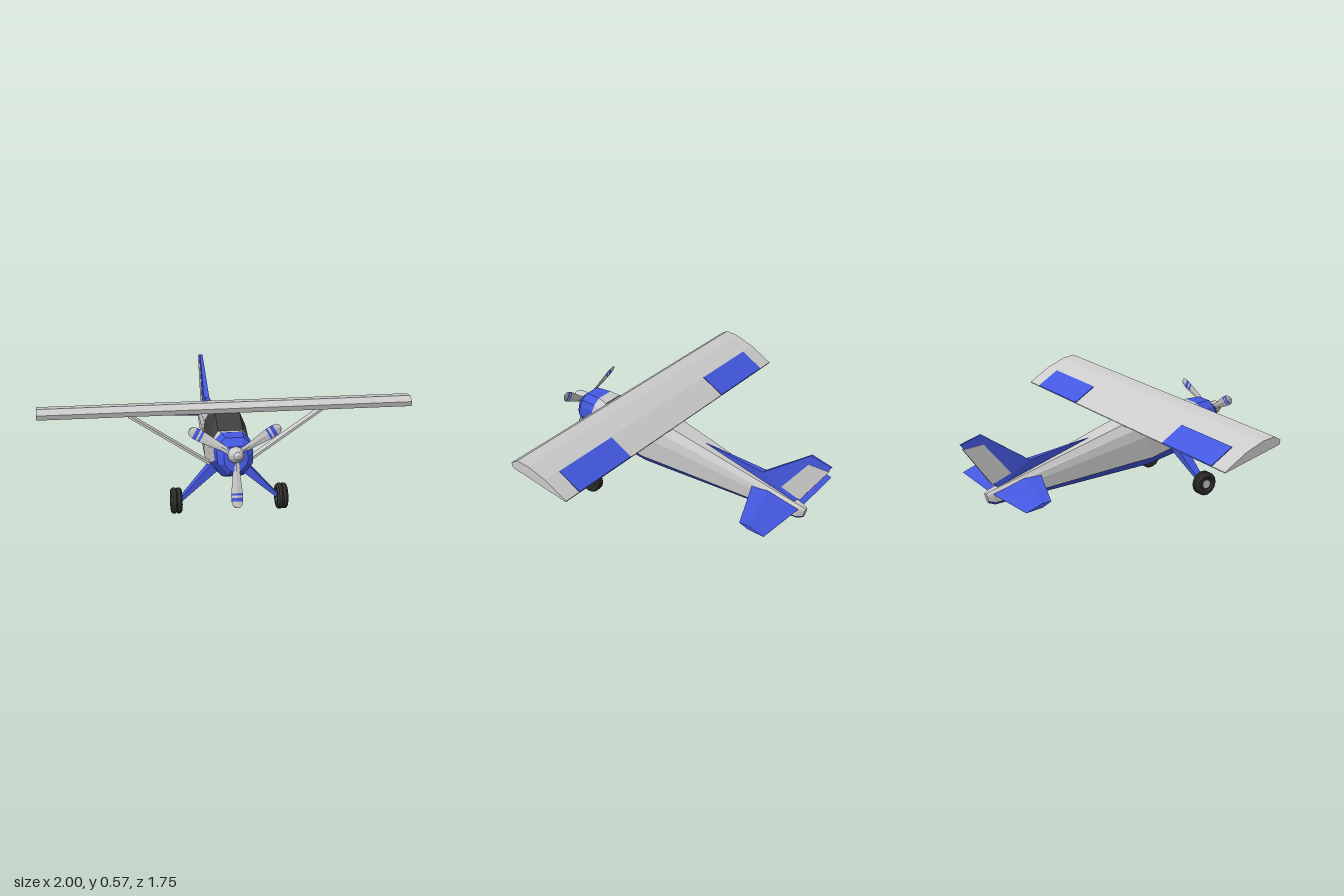
import * as THREE from 'three';

const COLORS = { grey: 0xcccccc, blue: 0x4458e0, glass: 0x404040, tyre: 0x333333 };
const mats = {};
for (const k in COLORS) mats[k] = new THREE.MeshStandardMaterial({ color: COLORS[k], flatShading: true });

const V = (x, y, z) => new THREE.Vector3(x, y, z);

function mesh(geometry, color, name) {
  const m = new THREE.Mesh(geometry, mats[color]);
  m.name = name;
  return m;
}

// Skin closed rings of points and cap both ends; pick(i, j) gives the colour of
// each face (i = span, j = side; i is -1 and rings.length - 1 for the caps).
function loft(name, rings, pick) {
  const buckets = {};
  let volume = 0;
  const tri = (color, a, b, c) => {
    (buckets[color] ??= []).push([a, b, c]);
    volume += a.dot(b.clone().cross(c));
  };
  const n = rings[0].length, last = rings.length - 1;
  for (let i = 0; i < last; i++) for (let j = 0; j < n; j++) {
    const k = (j + 1) % n, color = pick(i, j);
    tri(color, rings[i][j], rings[i][k], rings[i + 1][k]);
    tri(color, rings[i][j], rings[i + 1][k], rings[i + 1][j]);
  }
  for (let j = 1; j < n - 1; j++) {
    tri(pick(-1, j), rings[0][0], rings[0][j + 1], rings[0][j]);
    tri(pick(last, j), rings[last][0], rings[last][j], rings[last][j + 1]);
  }
  const group = new THREE.Group();
  group.name = name;
  for (const color in buckets) {
    const pts = buckets[color].flatMap(([a, b, c]) => (volume < 0 ? [a, c, b] : [a, b, c]));
    const g = new THREE.BufferGeometry().setFromPoints(pts);
    g.computeVertexNormals();
    group.add(mesh(g, color, `${name} ${color}`));
  }
  return group;
}

// Tapered flat bar between two points; z and t are half sizes along z and across
function bar(name, color, a, b, [za, ta], [zb, tb]) {
  const d = b.clone().sub(a), n = V(-d.y, d.x, 0).normalize();
  const ring = (p, z, t) => [[1, 1], [1, -1], [-1, -1], [-1, 1]].map(
    ([s, u]) => p.clone().addScaledVector(n, t * u).add(V(0, 0, z * s)));
  return loft(name, [ring(a, za, ta), ring(b, zb, tb)], () => color);
}

// Fuselage: slanted ten-sided stations
function fuselage() {
  // z at top, y top, y sill, y belt, y bottom, half width, roof width ratio
  const stations = [
    [0.785, 0.445, 0.40, 0.36, 0.325, 0.062, 0.5],
    [0.745, 0.480, 0.41, 0.35, 0.295, 0.094, 0.5],
    [0.650, 0.478, 0.40, 0.34, 0.260, 0.100, 0.55],
    [0.590, 0.465, 0.38, 0.315, 0.235, 0.103, 0.62],
    [0.470, 0.525, 0.37, 0.275, 0.205, 0.106, 0.62],
    [0.240, 0.465, 0.355, 0.218, 0.160, 0.106, 0.62],
    [0.120, 0.435, 0.33, 0.208, 0.153, 0.098, 0.6],
    [-0.700, 0.190, 0.16, 0.122, 0.105, 0.030, 0.5],
    [-0.730, 0.175, 0.155, 0.132, 0.118, 0.016, 0.5],
  ];
  const rings = stations.map(([z, top, sill, belt, bottom, w, roof]) => {
    const half = [
      [roof * w, top], [0.9 * w, sill + 0.55 * (top - sill)], [w, sill],
      [0.95 * w, belt], [0.42 * w, bottom],
    ];
    const full = [...half, ...half.slice().reverse().map(([x, y]) => [-x, y])];
    return full.map(([x, y]) => V(x, y, z + 0.27 * (top - y)));
  });
  return loft('fuselage', rings, (i, j) => {
    const row = j === 9 ? -1 : Math.min(j, 8 - j);
    if (i < 2) return 'blue';                       // cowling
    if (i === stations.length - 1) return 'grey';   // tail cap
    if (row >= 3) return 'blue';                    // belly
    if (i === 3 && row < 2) return 'glass';         // windshield
    if (i === 4 && (row === 0 || row === 1)) return 'glass'; // side windows
    return 'grey';
  });
}

// Straight wing with blue panels on the rear of the upper side
function wing() {
  const group = new THREE.Group();
  group.name = 'wing';
  const section = [[0.473, 0.523], [0.48, 0.55], [0.44, 0.573], [0.365, 0.562],
    [0.255, 0.519], [0.122, 0.438], [0.122, 0.433]];
  const panel = [[0.25, 0.518], [0.12, 0.4385], [0.12, 0.4365], [0.25, 0.508]];
  const span = (name, color, pts, x0, x1, lift = 0) => group.add(loft(name,
    [x0, x1].map(x => pts.map(([z, y], i) => V(x, y + (i < 2 ? lift : 0), z))), () => color));
  span('wingSpan', 'grey', section, -1, 1);
  span('leftWingPanel', 'blue', panel, 0.45, 0.89, 0.003);
  span('rightWingPanel', 'blue', panel, -0.89, -0.45, 0.003);
  return group;
}

// Upright fin with dorsal fillet, and the grey rudder panel
function fin() {
  const group = new THREE.Group();
  group.name = 'tailFin';
  const plate = (name, color, outline, extra) => {
    const t = z => extra + (z > -0.1 ? 0.003
      : 0.004 + 0.012 * THREE.MathUtils.clamp((z + 0.87) / 0.4, 0, 1));
    group.add(loft(name, [1, -1].map(s => outline.map(([z, y]) => V(s * t(z), y, z))), () => color));
  };
  plate('fin', 'blue', [[-0.655, 0.195], [-0.065, 0.379], [-0.46, 0.324],
    [-0.745, 0.516], [-0.87, 0.48]], 0);
  plate('rudder', 'grey', [[-0.69, 0.222], [-0.575, 0.268], [-0.735, 0.46], [-0.856, 0.45]], 0.002);
  return group;
}

// Horizontal tail
function tailplane() {
  const ring = (x, zf, yf, zb, yb, h) => {
    const z = zf + 0.35 * (zb - zf), y = yf + 0.35 * (yb - yf);
    return [V(x, yf, zf), V(x, y + h, z), V(x, yb, zb), V(x, y - h, z)];
  };
  const tip = x => ring(x, -0.53, 0.21, -0.682, 0.175, 0.012);
  const root = x => ring(x, -0.4, 0.236, -0.695, 0.172, 0.018);
  return loft('tailplane', [tip(-0.37), root(-0.03), root(0.03), tip(0.37)], () => 'blue');
}

// Three striped blades and a pointed spinner
function propeller() {
  const group = new THREE.Group();
  group.name = 'propeller';
  const stops = [[0.02, 0.013], [0.09, 0.018], [0.195, 0.029], [0.207, 0.03], [0.218, 0.03],
    [0.238, 0.029], [0.258, 0.024], [0.27, 0.012]];
  for (let b = 0; b < 3; b++) {
    const rings = stops.map(([r, w]) => [V(w, r, -0.003), V(0, r, 0.005), V(-w, r, 0.003), V(0, r, -0.005)]);
    const blade = loft('blade', rings, i => (i === 2 || i === 4 ? 'blue' : 'grey'));
    blade.rotation.z = Math.PI + b * Math.PI * 2 / 3;
    group.add(blade);
  }
  const profile = [[0, -0.03], [0.04, -0.03], [0.043, 0.01], [0.036, 0.045], [0.02, 0.075], [0, 0.085]];
  const cone = new THREE.LatheGeometry(profile.map(p => new THREE.Vector2(...p)), 12);
  group.add(mesh(cone.rotateX(Math.PI / 2), 'grey', 'spinner'));
  group.position.set(0, 0.405, 0.795);
  group.rotation.x = -0.266;
  return group;
}

// Wheel with two-ridged tyre and hub
function wheel(s) {
  const group = new THREE.Group();
  group.name = 'wheel';
  const profile = [[0, -0.018], [0.036, -0.02], [0.044, -0.029], [0.06, -0.029], [0.07, -0.019], [0.07, -0.005],
    [0.062, 0], [0.07, 0.005], [0.07, 0.019], [0.06, 0.029], [0.044, 0.029], [0.036, 0.02], [0, 0.018]];
  const tyre = new THREE.LatheGeometry(profile.map(p => new THREE.Vector2(...p)), 14);
  group.add(mesh(tyre.rotateZ(Math.PI / 2), 'tyre', 'tyre'));
  group.add(mesh(new THREE.CylinderGeometry(0.024, 0.024, 0.05, 12).rotateZ(Math.PI / 2), 'grey', 'hub'));
  group.position.set(s * 0.283, 0.07, 0.545);
  return group;
}

export function createModel() {
  const model = new THREE.Group();
  model.name = 'lightAircraft';
  model.add(fuselage(), wing(), fin(), tailplane(), propeller());
  for (const s of [1, -1]) {
    const side = s > 0 ? 'left' : 'right';
    model.add(
      bar(`${side}WingStrut`, 'grey', V(s * 0.52, 0.512, 0.41), V(s * 0.09, 0.25, 0.49), [0.026, 0.006], [0.026, 0.006]),
      bar(`${side}GearLeg`, 'blue', V(s * 0.07, 0.25, 0.5), V(s * 0.265, 0.07, 0.545), [0.035, 0.026], [0.018, 0.008]),
      wheel(s));
  }
  return model;
}
